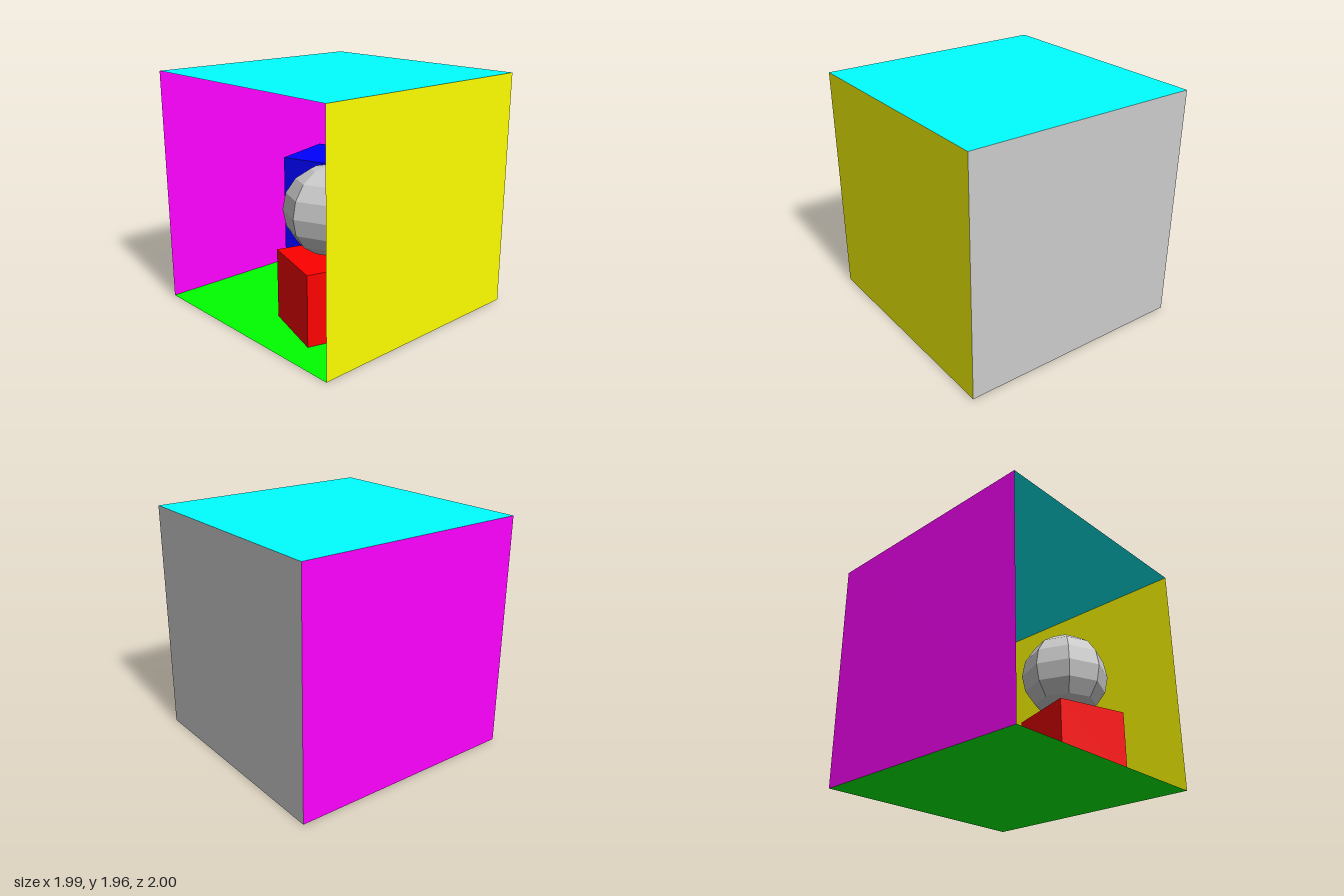
import * as THREE from 'three';

const H = 1.963; // room height
const X = 0.994; // half width

function add(group, name, geometry, color, options = {}) {
  const material = new THREE.MeshStandardMaterial({ color, ...options });
  const mesh = new THREE.Mesh(geometry, material);
  mesh.name = name;
  group.add(mesh);
  return mesh;
}

// Thin flat panel through four corners
function panel(group, name, color, a, b, c, d) {
  const geometry = new THREE.BufferGeometry();
  geometry.setAttribute('position', new THREE.Float32BufferAttribute([a, b, c, d].flat(), 3));
  geometry.setIndex([0, 1, 2, 0, 2, 3]);
  geometry.computeVertexNormals();
  add(group, name, geometry, color, { side: THREE.DoubleSide });
}

// Upright block from its [x, z] footprint, set just above the floor
function block(group, name, color, footprint, height) {
  const shape = new THREE.Shape(footprint.map(([x, z]) => new THREE.Vector2(x, -z)));
  const geometry = new THREE.ExtrudeGeometry(shape, { depth: height - 0.002, bevelEnabled: false });
  geometry.rotateX(-Math.PI / 2);
  add(group, name, geometry, color).position.y = 0.002;
}

export function createModel() {
  const model = new THREE.Group();
  model.name = 'room';

  // Room corners: the -x wall leans slightly outwards towards the top
  const frontLow = [-0.983, 0, 1], backLow = [-0.971, 0, -1];
  const frontHigh = [-X, H, 1], backHigh = [-X, H, -1];
  const frontLowL = [X, 0, 1], backLowL = [X, 0, -1];
  const frontHighL = [X, H, 1], backHighL = [X, H, -1];

  // Shell, open at the front
  panel(model, 'floor', 0x00ff00, frontLow, frontLowL, backLowL, backLow);
  panel(model, 'ceiling', 0x00ffff, frontHigh, backHigh, backHighL, frontHighL);
  panel(model, 'backWall', 0xcccccc, backLow, backLowL, backHighL, backHigh);
  panel(model, 'leftWall', 0xffff00, frontLowL, frontHighL, backHighL, backLowL);
  panel(model, 'rightWall', 0xff00ff, frontLow, backLow, backHigh, frontHigh);

  // Two turned blocks
  block(model, 'shortBlock', 0xff0000,
    [[0.529, 0.768], [0.701, 0.195], [0.136, 0.027], [-0.043, 0.592]], 0.59);
  block(model, 'tallBlock', 0x0000ff,
    [[-0.519, 0.117], [0.046, -0.059], [-0.129, -0.631], [-0.694, -0.452]], 1.18);

  // Faceted ball above the short block
  const ball = add(model, 'ball', new THREE.SphereGeometry(0.357, 8, 8), 0xcccccc, { flatShading: true });
  ball.position.set(0.313, 0.958, 0.357);

  return model;
}
